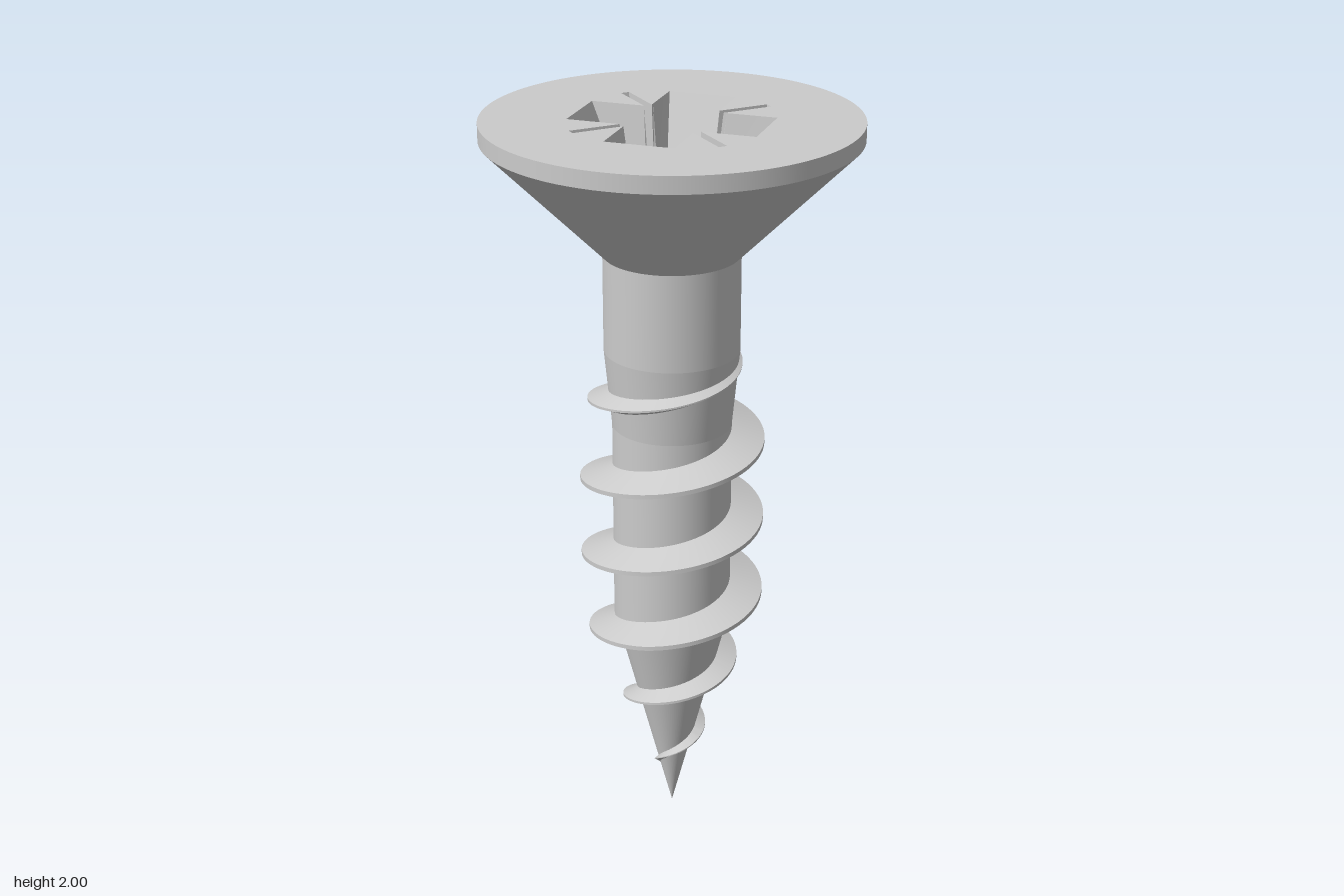
import * as THREE from 'three';
import { toCreasedNormals } from 'three/addons/utils/BufferGeometryUtils.js';

const material = new THREE.MeshStandardMaterial({ color: 0xcccccc });
const HEAD_R = 0.483, TOP = 2, SEGMENTS = 96;

function addMesh(group, name, geometry) {
  const mesh = new THREE.Mesh(geometry, material);
  mesh.name = name;
  group.add(mesh);
}

// Joins rows of equally many points into a surface with sharp creases
function loft(rows, crease) {
  const n = rows[0].length, index = [];
  for (let r = 0; r < rows.length - 1; r++) {
    for (let i = 0; i < n - 1; i++) {
      const a = r * n + i, b = a + n;
      index.push(a, b, a + 1, b, b + 1, a + 1);
    }
  }
  const geometry = new THREE.BufferGeometry();
  geometry.setAttribute('position', new THREE.Float32BufferAttribute(rows.flat(2), 3));
  geometry.setIndex(index);
  return toCreasedNormals(geometry, crease);
}

// Linear interpolation in a table of [y, value]
function lookup(table, y) {
  for (let i = 1; i < table.length; i++) {
    const [y0, v0] = table[i - 1], [y1, v1] = table[i];
    if (y <= y1) return THREE.MathUtils.mapLinear(y, y0, y1, v0, v1);
  }
  return table[table.length - 1][1];
}

// Mirrors half a quadrant about its diagonal, then repeats it four times
function crossOutline(half) {
  const quadrant = [...half, ...half.slice(1).reverse().map(([x, z]) => [z, x])];
  const outline = [];
  for (let q = 0; q < 4; q++) {
    for (const [x, z] of quadrant) {
      outline.push([[x, z], [-z, x], [-x, -z], [z, -x]][q]);
    }
  }
  return outline;
}

const CORE = [[0, 0], [0.62, 0.158], [1.18, 0.158], [1.39, 0.178], [1.65, 0.178]];
const CREST = [[0.04, 0.009], [0.13, 0.045], [0.235, 0.088], [0.46, 0.175], [0.625, 0.245],
  [1.18, 0.245], [1.24, 0.225], [1.35, 0.186], [1.41, 0.172]];

// Helical ridge with a narrow flat crest
function threadGeometry() {
  const pitch = 0.2225, y0 = 0.04, y1 = 1.41;
  const steps = Math.round((y1 - y0) / pitch * 72), rows = [];
  for (let i = 0; i <= steps; i++) {
    const y = y0 + (y1 - y0) * i / steps;
    const angle = (y - 1.125) / pitch * Math.PI * 2;
    const core = lookup(CORE, y), crest = lookup(CREST, y);
    const size = THREE.MathUtils.clamp((crest - core) / 0.087, 0.12, 1);
    const root = Math.max(core - 0.012, 0.001), h = 0.04 * Math.sqrt(size), c = 0.006 * size;
    rows.push([[root, -h], [crest, -c], [crest, c], [root, h]].map(
      ([r, dy]) => [r * Math.cos(angle), y + dy, -r * Math.sin(angle)]));
  }
  // Rows run along the helix
  return loft(rows, 0.5);
}

export function createModel() {
  const group = new THREE.Group();
  group.name = 'screw';

  // Point, core, neck and shank
  const names = ['point', 'core', 'neckTaper', 'shank'];
  names.forEach((name, i) => {
    const [ya, ra] = CORE[i], [yb, rb] = CORE[i + 1];
    const section = new THREE.CylinderGeometry(rb, ra, yb - ya, SEGMENTS, 1, true);
    addMesh(group, name, section.translate(0, (ya + yb) / 2, 0));
  });

  addMesh(group, 'thread', threadGeometry());

  // Countersunk head and its rim
  addMesh(group, 'headCone', new THREE.CylinderGeometry(HEAD_R, 0.178, 0.305, SEGMENTS, 1, true)
    .translate(0, 1.8025, 0));
  addMesh(group, 'headRim', new THREE.CylinderGeometry(HEAD_R, HEAD_R, 0.045, SEGMENTS, 1, true)
    .translate(0, 1.9775, 0));

  // Cross recess with thin diagonal slots, tapering to a floor
  const mouth = crossOutline([[0.246, 0], [0.246, 0.045], [0.246, 0.09],
    [0.115, 0.09], [0.1056, 0.09], [0.202, 0.186]]);
  const floor = crossOutline([[0.125, 0], [0.125, 0.03], [0.125, 0.06],
    [0.086, 0.06], [0.0784, 0.0699], [0.17, 0.162]]);

  // Flat top, open over the recess
  const disc = new THREE.Shape().absarc(0, 0, HEAD_R, 0, Math.PI * 2, false);
  disc.holes.push(new THREE.Path(mouth.map(([x, z]) => new THREE.Vector2(x, -z))));
  addMesh(group, 'headTop', new THREE.ShapeGeometry(disc, SEGMENTS / 2)
    .rotateX(-Math.PI / 2).translate(0, TOP, 0));

  // Recess walls, floor and conical centre
  const floorY = TOP - 0.28;
  const circle = floor.map(([x, z]) => {
    const k = Math.min(1, 0.105 / Math.hypot(x, z));
    return [x * k, z * k];
  });
  const ring = (points, y) => [...points, points[0]].map(([x, z]) => [x, y, z]);
  addMesh(group, 'recessWalls', loft([ring(mouth, TOP), ring(floor, floorY)], 0.3));
  addMesh(group, 'recessFloor', loft([ring(floor, floorY), ring(circle, floorY)], 0.3));
  addMesh(group, 'recessCentre', loft([ring(circle, floorY),
    ring(circle.map(() => [0, 0]), floorY - 0.05)], 0.3));

  return group;
}
